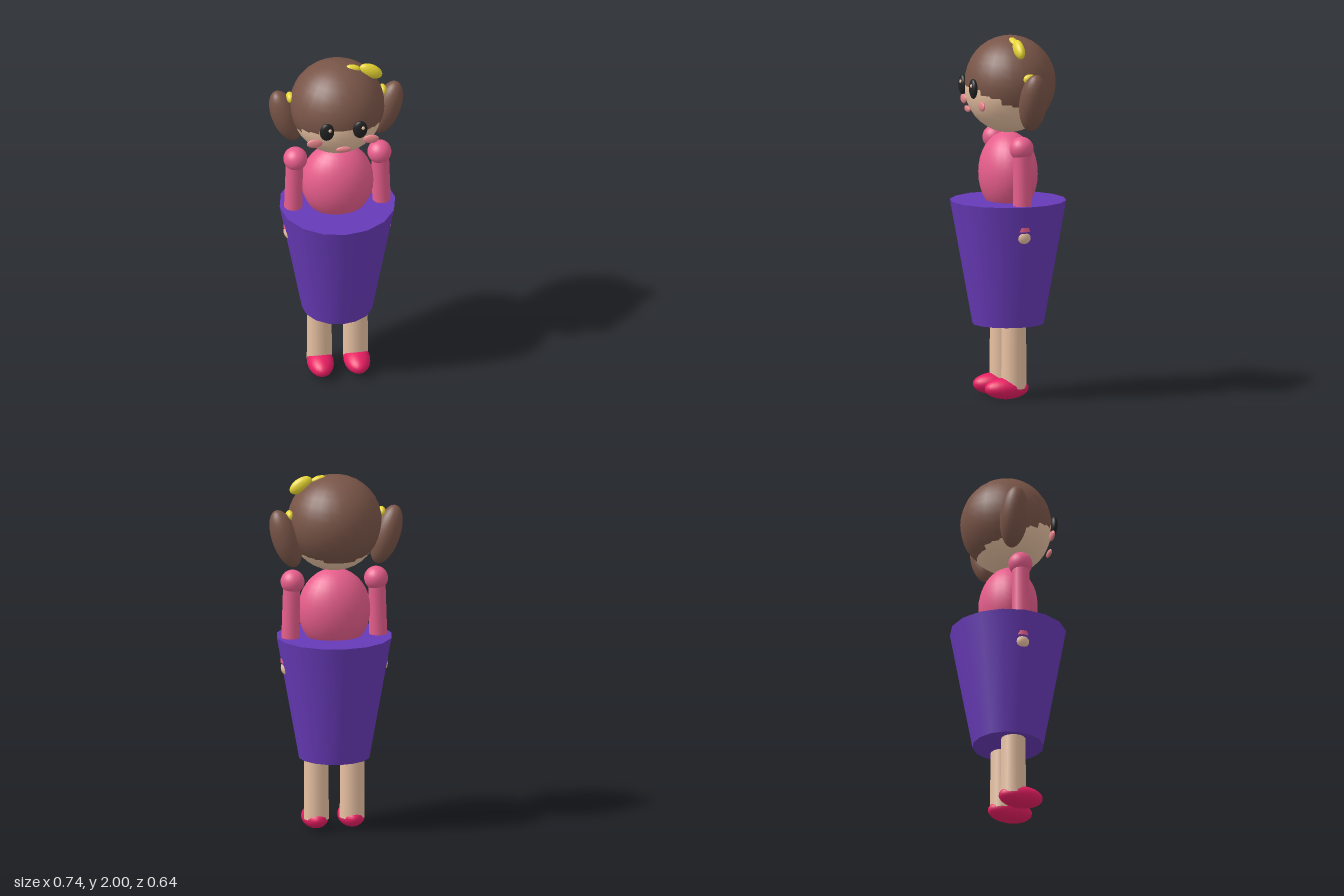
import * as THREE from 'three';

const mat = (name, color) => {
  const m = new THREE.MeshStandardMaterial({ color });
  m.name = name;
  return m;
};

export function createModel() {
  const skin = mat('skin', 0xf0c8a8);
  const hair = mat('hairBrown', 0x795548);
  const yellow = mat('ribbonYellow', 0xffeb3b);
  const pink = mat('shirtPink', 0xf06292);
  const purple = mat('skirtPurple', 0x673ab7);
  const crimson = mat('shoeCrimson', 0xe91e63);
  const black = mat('eyeBlack', 0x212121);
  const blush = mat('blush', 0xf08a90);

  const model = new THREE.Group();
  model.name = 'doll';

  const add = (name, geometry, material, pos) => {
    const mesh = new THREE.Mesh(geometry, material);
    mesh.name = name;
    mesh.position.set(...pos);
    model.add(mesh);
    return mesh;
  };
  // Ellipsoid with given radii, optionally tilted about z
  const ellipsoid = (name, material, pos, radii, tilt = 0) => {
    const mesh = add(name, new THREE.SphereGeometry(1, 24, 18), material, pos);
    mesh.scale.set(...radii);
    mesh.rotation.z = tilt;
    return mesh;
  };
  // Tapered cylinder between two points
  const limb = (name, material, top, bottom, rTop, rBottom) => {
    const a = new THREE.Vector3(...top), b = new THREE.Vector3(...bottom);
    const axis = a.clone().sub(b);
    const mid = a.clone().add(b).multiplyScalar(0.5);
    const mesh = add(name, new THREE.CylinderGeometry(rTop, rBottom, axis.length(), 16), material, mid.toArray());
    mesh.quaternion.setFromUnitVectors(new THREE.Vector3(0, 1, 0), axis.normalize());
    return mesh;
  };

  // Head with the hair cap set slightly up and back
  ellipsoid('head', skin, [0, 1.716, -0.002], [0.25, 0.25, 0.24]);
  ellipsoid('hairCap', hair, [0, 1.74, -0.012], [0.261, 0.26, 0.25]);
  ellipsoid('mouth', blush, [0, 1.605, 0.235], [0.043, 0.018, 0.011]);

  // Bow on the left side of the head
  ellipsoid('bowLarge', yellow, [0.186, 1.948, 0], [0.07, 0.04, 0.029], -0.55);
  ellipsoid('bowSmall', yellow, [0.088, 1.977, 0], [0.043, 0.02, 0.021], -0.25);

  // Torso and skirt
  ellipsoid('torso', pink, [0, 1.24, 0], [0.2, 0.23, 0.16]);
  add('skirt', new THREE.CylinderGeometry(0.32, 0.196, 0.685, 16), purple, [0, 0.748, 0]);

  // Paired parts
  for (const [side, s] of [['left', 1], ['right', -1]]) {
    ellipsoid(side + 'Eye', black, [s * 0.092, 1.728, 0.232], [0.04, 0.055, 0.021]);
    ellipsoid(side + 'EyeGlint', skin, [s * 0.092 + 0.014, 1.746, 0.248], [0.01, 0.011, 0.007]);
    ellipsoid(side + 'Cheek', blush, [s * 0.156, 1.638, 0.204], [0.044, 0.027, 0.012]);
    ellipsoid(side + 'Pigtail', hair, [s * 0.281, 1.663, -0.051], [0.075, 0.17, 0.077], -s * 0.33);
    ellipsoid(side + 'HairTie', yellow, [s * 0.257, 1.79, -0.04], [0.022, 0.029, 0.037]);
    ellipsoid(side + 'Shoulder', pink, [s * 0.233, 1.405, 0], [0.066, 0.066, 0.066]);
    limb(side + 'Arm', pink, [s * 0.237, 1.405, 0], [s * 0.248, 0.95, 0], 0.048, 0.052);
    ellipsoid(side + 'Hand', skin, [s * 0.25, 0.92, 0], [0.048, 0.048, 0.048]);
    limb(side + 'Leg', skin, [s * 0.1, 0.45, 0], [s * 0.1, 0.06, 0], 0.067, 0.07);
    ellipsoid(side + 'Shoe', crimson, [s * 0.101, 0.06, 0.042], [0.073, 0.06, 0.125]);
  }

  return model;
}
